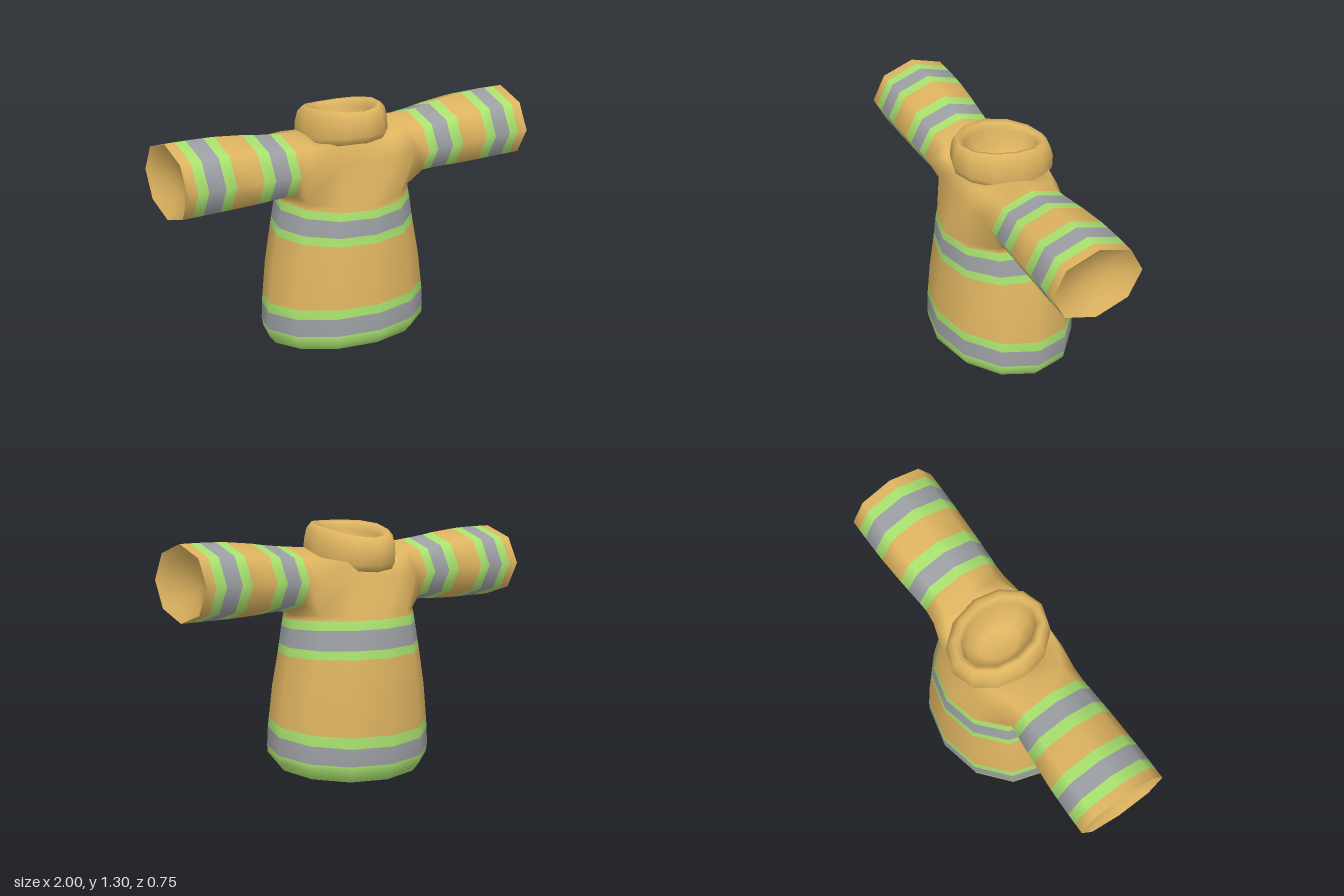
import * as THREE from 'three';
import { mergeVertices } from 'three/addons/utils/BufferGeometryUtils.js';

const tan = new THREE.MeshStandardMaterial({ color: 0xdeb460 });
tan.name = 'tan cloth';
const green = new THREE.MeshStandardMaterial({ color: 0xaae370 });
green.name = 'lime tape';
const grey = new THREE.MeshStandardMaterial({ color: 0x9da0a4 });
grey.name = 'grey tape';
const materials = [tan, green, grey];
const T = 0, G = 1, S = 2;

const v = (x, y, z) => new THREE.Vector3(x, y, z);
const newSkin = () => [[], [], []];

// Adds the faces between rows of points to a skin, one colour for each band
function weave(skin, rows, colours, closed = true) {
  const n = rows[0].length;
  for (let r = 0; r < rows.length - 1; r++) {
    for (let i = 0; i < (closed ? n : n - 1); i++) {
      const j = (i + 1) % n;
      const [a, b, c, d] = [rows[r][i], rows[r][j], rows[r + 1][j], rows[r + 1][i]];
      skin[colours[r]].push(a, b, c, a, c, d);
    }
  }
}

// Turns a skin into one smooth mesh
function sew(name, skin) {
  const geo = new THREE.BufferGeometry().setFromPoints(skin.flat());
  let start = 0;
  skin.forEach((points, colour) => {
    if (points.length) geo.addGroup(start, points.length, colour);
    start += points.length;
  });
  const smooth = mergeVertices(geo, 1e-4);
  smooth.computeVertexNormals();
  const mesh = new THREE.Mesh(smooth, materials);
  mesh.name = name;
  return mesh;
}

// Level oval: height at z = 0, slope along z, half width, front z, back z, bend
function oval([y, slope, w, zf, zb, bend = 0]) {
  return Array.from({ length: 12 }, (_, i) => {
    const t = (i / 12) * Math.PI * 2;
    const z = (zf + zb) / 2 + Math.cos(t) * (zf - zb) / 2;
    return v(Math.sin(t) * w, y + slope * z + bend * z * z, z);
  });
}

// Upright octagon across a sleeve: x, top, bottom, front z, back z
function cuff([x, top, bottom, zf, zb], side) {
  return Array.from({ length: 8 }, (_, i) => {
    const t = (i / 8) * Math.PI * 2 * side;
    return v(
      x * side,
      (top + bottom) / 2 + Math.cos(t) * (top - bottom) / 2,
      (zf + zb) / 2 + Math.sin(t) * (zf - zb) / 2,
    );
  });
}

// Shallow hollow inside an opening: rings shrinking towards a sunken centre
function hollow(ring, inward) {
  const centre = v(0, 0, 0);
  ring.forEach((p) => centre.addScaledVector(p, 1 / ring.length));
  return [1, 0.75, 0.4, 0].map((s) => ring.map((p) => (
    centre.clone().lerp(p, s).addScaledVector(inward, 1 - s * s))));
}

export function createModel() {
  const coat = new THREE.Group();
  coat.name = 'coat';
  const shell = newSkin();

  // Skirt of the coat, from the tilted hem up to the armpits
  const body = [
    [0.042, 0.12, 0.41, 0.345, -0.335],
    [0.085, 0.105, 0.445, 0.374, -0.368],
    [0.128, 0.1, 0.45, 0.375, -0.377],
    [0.222, 0.107, 0.446, 0.372, -0.377],
    [0.275, 0.095, 0.44, 0.368, -0.375],
    [0.45, 0.05, 0.42, 0.356, -0.369],
    [0.635, 0, 0.386, 0.336, -0.353],
    [0.68, 0, 0.378, 0.332, -0.348],
    [0.775, -0.025, 0.362, 0.325, -0.336],
    [0.82, -0.035, 0.354, 0.318, -0.328],
    [0.847, -0.025, 0.35, 0.312, -0.319],
  ].map(oval);
  weave(shell, body, [G, G, S, G, T, T, G, S, G, T]);

  // Chest, shoulders and upper back: a sheet laid over from front to back
  const pit = body[body.length - 1];
  const yoke = [
    [[0.3, 1.045, 0.238], [0.17, 1.045, 0.257], [0, 1.045, 0.262]],
    [[0.28, 1.145, 0.172], [0.16, 1.145, 0.222], [0, 1.14, 0.238]],
    [[0.27, 1.185, 0.015], [0.16, 1.12, 0.015], [0, 0.95, 0]],
    [[0.28, 1.145, -0.145], [0.16, 1.12, -0.2], [0, 1.11, -0.218]],
    [[0.3, 1.04, -0.2], [0.17, 1.035, -0.241], [0, 1.035, -0.25]],
  ].map(([end, mid, centre]) => [
    v(-end[0], end[1], end[2]), v(-mid[0], mid[1], mid[2]),
    v(...centre), v(...mid), v(...end),
  ]);
  const sheet = [
    [10, 11, 0, 1, 2].map((i) => pit[i]),
    ...yoke,
    [8, 7, 6, 5, 4].map((i) => pit[i]),
  ];
  weave(shell, sheet, Array(6).fill(T), false);

  // Sleeves grow out of the armholes, with two taped bands each
  const sleeve = [
    [0.38, 1.194, 0.864, 0.24, -0.19],
    [0.433, 1.199, 0.867, 0.243, -0.195],
    [0.524, 1.21, 0.863, 0.247, -0.204],
    [0.588, 1.22, 0.859, 0.249, -0.21],
    [0.738, 1.235, 0.855, 0.252, -0.221],
    [0.797, 1.238, 0.855, 0.254, -0.223],
    [0.888, 1.24, 0.855, 0.255, -0.225],
    [0.945, 1.24, 0.855, 0.255, -0.225],
    [1.0, 1.24, 0.855, 0.255, -0.225],
  ];
  for (const side of [1, -1]) {
    const edge = sheet.map((row) => row[side > 0 ? 4 : 0]);
    const armhole = side > 0
      ? [edge[3], edge[2], edge[1], edge[0], pit[3], edge[6], edge[5], edge[4]]
      : [edge[3], edge[4], edge[5], edge[6], pit[9], edge[0], edge[1], edge[2]];
    const rings = sleeve.map((r) => cuff(r, side));
    weave(shell, [armhole, ...rings], [T, G, S, G, T, G, S, G, T]);

    const lining = newSkin();
    weave(lining, hollow(rings[rings.length - 1], v(-0.07 * side, 0, 0)), [T, T, T]);
    coat.add(sew(side > 0 ? 'leftCuffLining' : 'rightCuffLining', lining));
  }
  coat.add(sew('bodyAndSleeves', shell));

  // Inside of the hem
  const hem = newSkin();
  weave(hem, hollow(body[0], v(0, 0.13, 0)).reverse(), [G, G, G]);
  coat.add(sew('hemLining', hem));

  // Collar: up the outside, over the rim and down to the neck floor
  const collar = newSkin();
  weave(collar, [
    [1.09, 0.15, 0.18, 0.21, -0.22],
    [1.105, 0.15, 0.215, 0.243, -0.262],
    [1.14, 0.15, 0.23, 0.254, -0.28],
    [1.21, 0.13, 0.224, 0.252, -0.284, -0.2],
    [1.265, 0.128, 0.21, 0.243, -0.272, -0.37],
    [1.29, 0.128, 0.185, 0.222, -0.246, -0.37],
    [1.283, 0.128, 0.158, 0.2, -0.22, -0.37],
    [1.245, 0.12, 0.142, 0.187, -0.207, -0.3],
    [1.13, 0.05, 0.122, 0.168, -0.182],
    [1.1, 0.03, 0.075, 0.1, -0.115],
    [1.09, 0, 0, -0.007, -0.007],
  ].map(oval), Array(10).fill(T));
  coat.add(sew('collar', collar));
  return coat;
}
